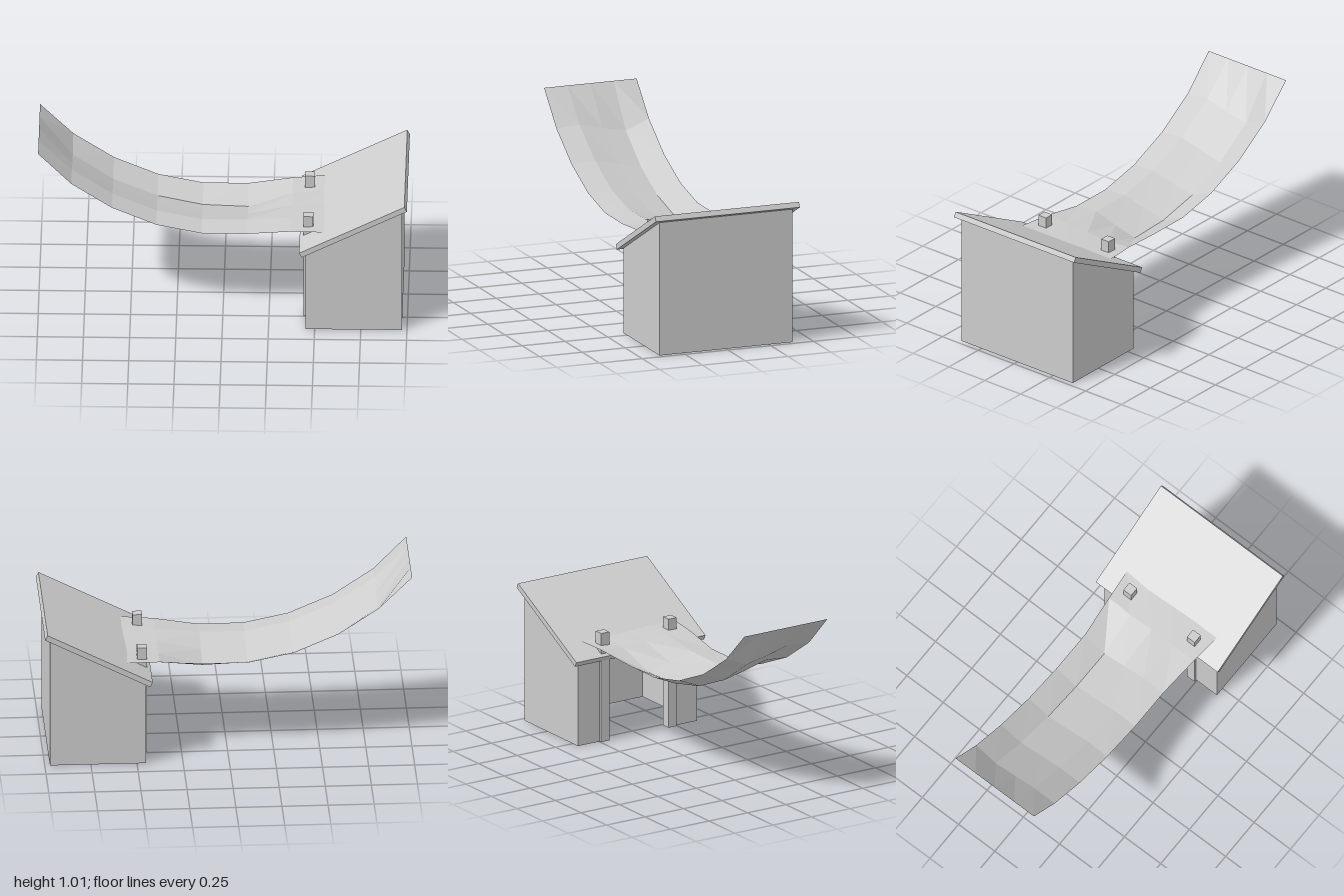
import * as THREE from 'three';

export function createModel() {
  const model = new THREE.Group();
  const gray = new THREE.MeshStandardMaterial({ color: 0xcccccc, flatShading: true });
  gray.name = 'light gray';
  const graySheet = gray;
  graySheet.side = THREE.DoubleSide;

  const add = (name, geometry, x = 0, y = 0, z = 0) => {
    const mesh = new THREE.Mesh(geometry, gray);
    mesh.name = name;
    mesh.position.set(x, y, z);
    model.add(mesh);
    return mesh;
  };

  // Side profile in x,y extruded along z, centred on z
  const slab = (name, points, depth, z) => {
    const shape = new THREE.Shape(points.map(([x, y]) => new THREE.Vector2(x, y)));
    const geometry = new THREE.ExtrudeGeometry(shape, { depth, bevelEnabled: false });
    return add(name, geometry, 0, 0, z - depth / 2);
  };

  // Hut: hollow, open underneath, with a wide doorway on the low side
  const wall = 0.02, half = 0.388;
  const under = (x) => 0.467 + (x - 0.428) * 0.516; // underside of the roof
  for (const s of [-1, 1]) {
    slab('sideWall', [[0.45, 0], [0.972, 0], [0.972, under(0.972)], [0.45, under(0.45)]],
      wall, s * (half - wall / 2));
    slab('doorwayWall', [[0.45, 0], [0.47, 0], [0.47, under(0.47)], [0.45, under(0.45)]],
      0.17, s * (half - 0.085));
    // Posts pass through the roof
    add('post', new THREE.BoxGeometry(0.053, 0.62, 0.053), 0.463, 0.31, s * 0.219);
  }
  slab('backWall', [[0.952, 0], [0.972, 0], [0.972, under(0.972)], [0.952, under(0.952)]],
    2 * half, 0);
  slab('roof', [[0.43, 0.465], [1, 0.758], [0.986, 0.785], [0.416, 0.492]], 0.84, 0);

  // Sagging chute: each station is x, edge height, sag, half width
  const stations = [
    [-1, 1.01, 0, 0.27], [-0.82, 0.825, 0.05, 0.27], [-0.6, 0.678, 0.053, 0.27],
    [-0.36, 0.575, 0.052, 0.27], [-0.115, 0.524, 0.054, 0.27], [0.13, 0.523, 0.062, 0.27],
    [0.37, 0.553, 0.012, 0.292], [0.55, 0.56, 0.004, 0.31],
  ];
  // Height across the chute, as a share of the sag, from +z to -z
  const across = [0, 0.2, -0.45, -1, 0.1];
  const point = (i, j) => {
    const [x, y, sag, w] = stations[i];
    return [x, y + across[j] * sag, w * (1 - j / 2)];
  };
  const positions = [];
  for (let i = 0; i < stations.length - 1; i++) {
    for (let j = 0; j < 4; j++) {
      const a = point(i, j), b = point(i + 1, j), c = point(i + 1, j + 1), d = point(i, j + 1);
      positions.push(...a, ...b, ...c, ...a, ...c, ...d);
    }
  }
  const chute = new THREE.BufferGeometry();
  chute.setAttribute('position', new THREE.Float32BufferAttribute(positions, 3));
  chute.computeVertexNormals();
  add('chute', chute);

  return model;
}
